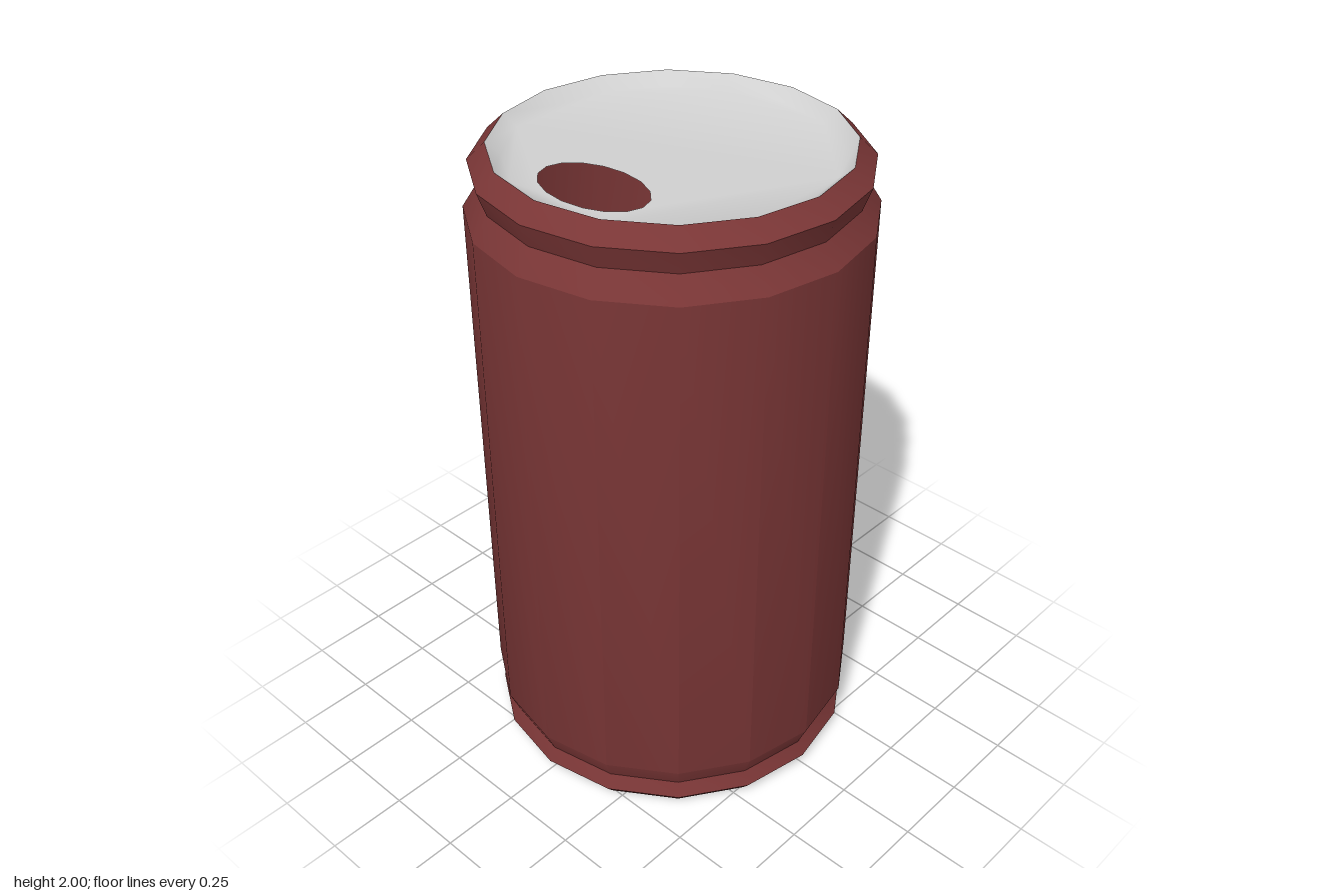
import * as THREE from 'three';
import { mergeGeometries, toCreasedNormals } from 'three/addons/utils/BufferGeometryUtils.js';

const SIDES = 16;

// Revolve [radius, height] pairs around the y axis
const revolve = (profile) =>
  new THREE.LatheGeometry(profile.map(([r, y]) => new THREE.Vector2(r, y)), SIDES);

// Regular polygon or ellipse outline as 16 points
const ring = (rx, ry, cy = 0) => Array.from({ length: SIDES }, (_, i) => {
  const a = (i / SIDES) * Math.PI * 2;
  return new THREE.Vector2(rx * Math.cos(a), cy + ry * Math.sin(a));
});

// Join a sloped edge and a flat panel into one softly shaded dish
function dish(edge, shape, tilt, y) {
  const panel = new THREE.ShapeGeometry(shape).rotateX(tilt).translate(0, y, 0);
  return toCreasedNormals(mergeGeometries([revolve(edge), panel]), Math.PI / 3);
}

export function createModel() {
  const can = new THREE.Group();
  can.name = 'drinkCan';

  const red = new THREE.MeshStandardMaterial({ color: 0x7a3636, side: THREE.DoubleSide });
  red.name = 'dark red paint';
  const metal = new THREE.MeshStandardMaterial({ color: 0xd0d0d0, side: THREE.DoubleSide });
  metal.name = 'bare metal';

  const add = (name, geometry, material) => {
    const mesh = new THREE.Mesh(geometry, material);
    mesh.name = name;
    can.add(mesh);
  };

  // Thin painted wall with foot, necks and top rim
  const wall = revolve([
    [0.55, 0], [0.578, 0.035], [0.555, 0.08], [0.585, 0.15],
    [0.585, 1.81], [0.54, 1.88], [0.565, 1.95], [0.512, 2],
  ]);
  add('wall', toCreasedNormals(wall, Math.PI / 6), red);

  // Recessed lid with an open oval mouth
  const lid = new THREE.Shape(ring(0.47, 0.47));
  lid.holes.push(new THREE.Path(ring(0.18, 0.115, -0.303)));
  add('lid', dish([[0.47, 1.965], [0.512, 2]].reverse(), lid, -Math.PI / 2, 1.965), metal);

  // Recessed base
  const base = new THREE.Shape(ring(0.5, 0.5));
  add('base', dish([[0.5, 0.035], [0.55, 0]], base, Math.PI / 2, 0.035), metal);

  return can;
}
